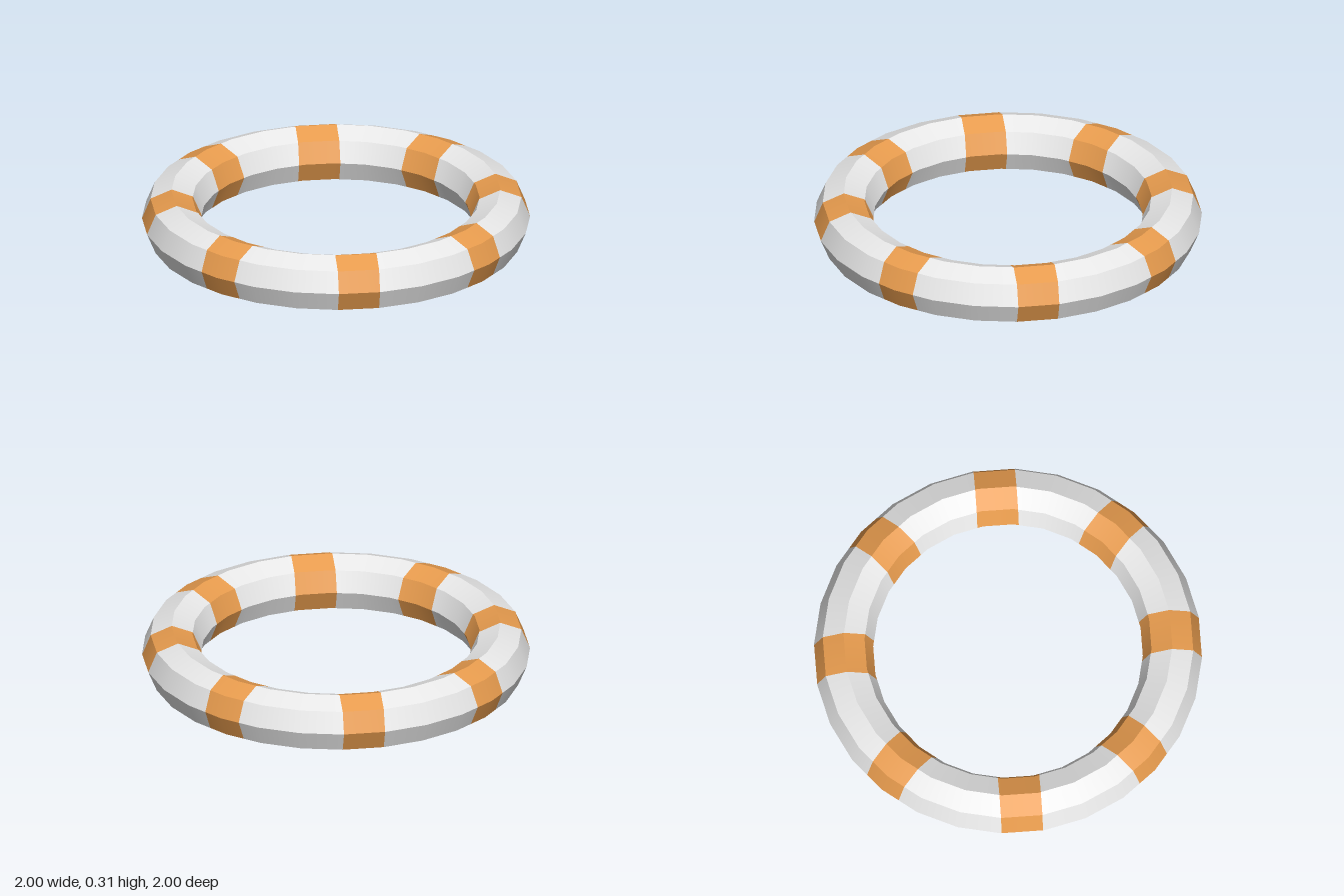
import * as THREE from 'three';

const SEGMENTS = 28;      // facets around the ring
const SIDES = 8;          // facets around the tube
const TUBE = 0.1525;      // tube radius
const RING = 1 - TUBE;    // ring radius, to the tube centre
const BANDS = 8;          // painted bands
const HALF_BAND = 0.107;  // half the width of a band

// A corner of the ring: position, plus the normal of its tube facet
function corner(theta, a, facetAngle) {
  const r = RING + TUBE * Math.cos(a);
  const n = Math.cos(facetAngle);
  return {
    p: new THREE.Vector3(r * Math.sin(theta), TUBE + TUBE * Math.sin(a), r * Math.cos(theta)),
    n: new THREE.Vector3(n * Math.sin(theta), Math.sin(facetAngle), n * Math.cos(theta)),
  };
}

// Keep the part of a polygon where dist(p) >= 0
function clip(poly, dist) {
  const out = [];
  poly.forEach((a, i) => {
    const b = poly[(i + 1) % poly.length];
    const da = dist(a.p), db = dist(b.p);
    if (da >= 0) out.push(a);
    if ((da > 0 && db < 0) || (da < 0 && db > 0)) {
      const t = da / (da - db);
      out.push({ p: a.p.clone().lerp(b.p, t), n: a.n.clone().lerp(b.n, t).normalize() });
    }
  });
  return out;
}

function toGeometry(polys) {
  const positions = [], normals = [];
  for (const poly of polys) {
    for (let i = 1; i < poly.length - 1; i++) {
      for (const v of [poly[0], poly[i], poly[i + 1]]) {
        positions.push(v.p.x, v.p.y, v.p.z);
        normals.push(v.n.x, v.n.y, v.n.z);
      }
    }
  }
  const geometry = new THREE.BufferGeometry();
  geometry.setAttribute('position', new THREE.Float32BufferAttribute(positions, 3));
  geometry.setAttribute('normal', new THREE.Float32BufferAttribute(normals, 3));
  return geometry;
}

export function createModel() {
  const white = new THREE.MeshStandardMaterial({ color: 0xe8e8e8 });
  white.name = 'white';
  const orange = new THREE.MeshStandardMaterial({ color: 0xe89c4e });
  orange.name = 'orange';

  const body = [], bands = [];
  const dTheta = (2 * Math.PI) / SEGMENTS;
  const dA = (2 * Math.PI) / SIDES;
  const spacing = (2 * Math.PI) / BANDS;

  for (let i = 0; i < SEGMENTS; i++) {
    const t0 = i * dTheta, t1 = t0 + dTheta;
    // Direction of the nearest band, and the sideways distance from its middle
    const phi = Math.round((t0 + t1) / 2 / spacing) * spacing;
    const side = (p) => p.x * Math.cos(phi) - p.z * Math.sin(phi);

    for (let j = 0; j < SIDES; j++) {
      const a0 = j * dA, a1 = a0 + dA, f = a0 + dA / 2;
      const facet = [corner(t0, a0, f), corner(t1, a0, f), corner(t1, a1, f), corner(t0, a1, f)];
      // Split the facet along the straight edges of the band
      body.push(clip(facet, (p) => -HALF_BAND - side(p)));
      body.push(clip(facet, (p) => side(p) - HALF_BAND));
      bands.push(clip(clip(facet, (p) => side(p) + HALF_BAND), (p) => HALF_BAND - side(p)));
    }
  }

  const group = new THREE.Group();
  group.name = 'ring';
  const ringBody = new THREE.Mesh(toGeometry(body), white);
  ringBody.name = 'ringBody';
  const ringBands = new THREE.Mesh(toGeometry(bands), orange);
  ringBands.name = 'ringBands';
  group.add(ringBody, ringBands);
  return group;
}
